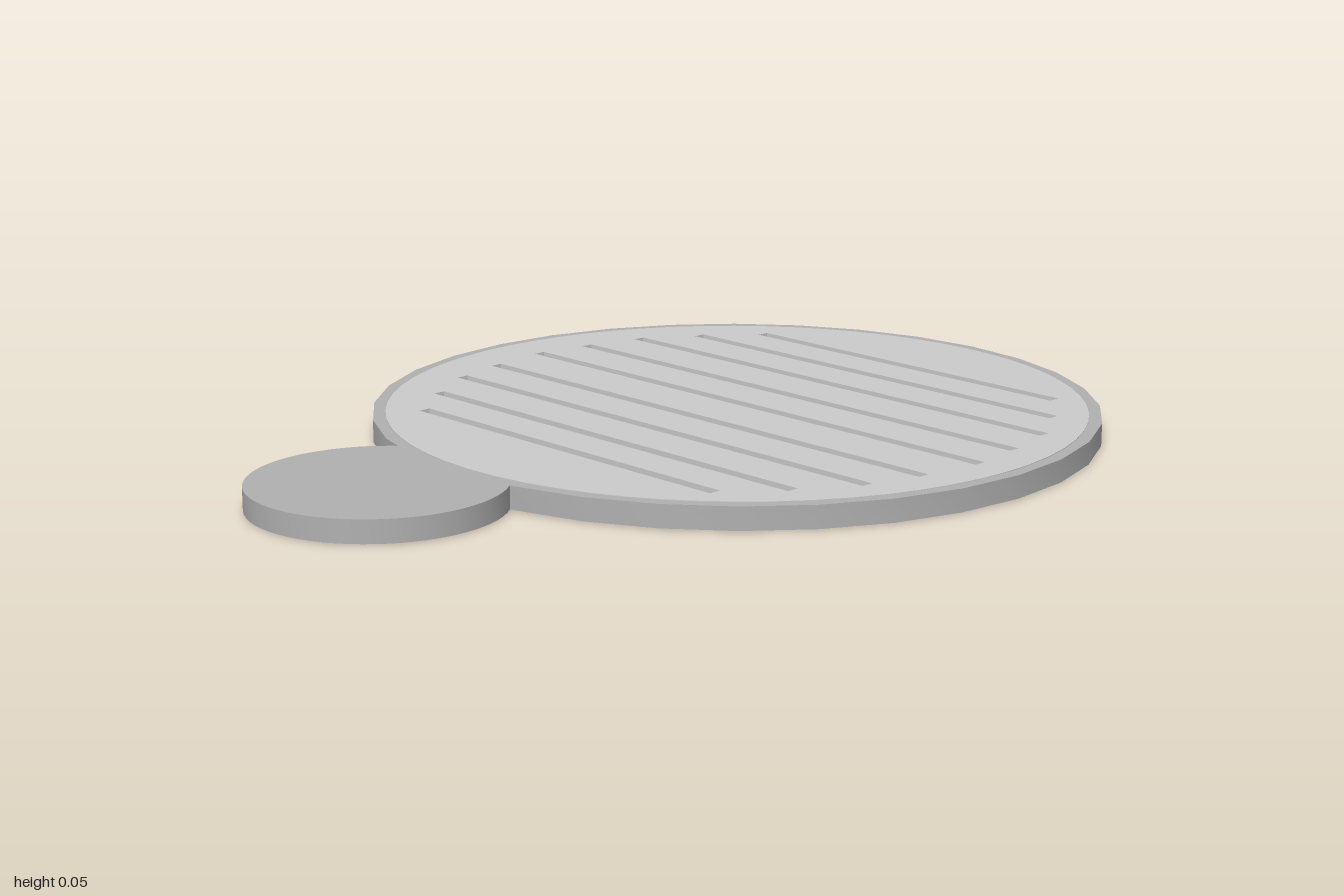
import * as THREE from 'three';
import { toCreasedNormals } from 'three/addons/utils/BufferGeometryUtils.js';

const HEIGHT = 0.052;
const STEP = 0.0015; // plate stands slightly proud of rim and tab
const DISC_Z = -0.21, OUTER_R = 0.791, INNER_R = 0.762;

const circle = (target, x, z, r) => target.absarc(x, z, r, 0, Math.PI * 2, false);

// Extrudes a plan outline (x, z) upwards between two heights.
function slab(name, shape, y0, y1, curveSegments, color) {
  const geo = new THREE.ExtrudeGeometry(shape, { depth: y1 - y0, bevelEnabled: false, curveSegments });
  geo.rotateX(Math.PI / 2).translate(0, y1, 0);
  const mesh = new THREE.Mesh(toCreasedNormals(geo, 0.5), new THREE.MeshStandardMaterial({ color }));
  mesh.name = name;
  return mesh;
}

export function createModel() {
  const model = new THREE.Group();
  model.name = 'drainGrate';

  // Round plate with slots cut right through
  const plate = circle(new THREE.Shape(), 0, DISC_Z, INNER_R);
  const slots = [
    [-0.735, 0.445], [-0.614, 0.54], [-0.487, 0.617], [-0.349, 0.65], [-0.217, 0.67],
    [-0.067, 0.65], [0.062, 0.617], [0.194, 0.54], [0.314, 0.445],
  ];
  const cx = 0.015, half = 0.014;
  for (const [z, w] of slots) {
    plate.holes.push(new THREE.Path([
      new THREE.Vector2(cx - w, z - half), new THREE.Vector2(cx - w, z + half),
      new THREE.Vector2(cx + w, z + half), new THREE.Vector2(cx + w, z - half),
    ]));
  }
  model.add(slab('slottedPlate', plate, 0, HEIGHT, 32, 0xcccccc));

  // Faceted ring around the plate
  const rim = circle(new THREE.Shape(), 0, DISC_Z, OUTER_R);
  rim.holes.push(circle(new THREE.Path(), 0, DISC_Z, INNER_R - 0.01));
  model.add(slab('rim', rim, STEP, HEIGHT - STEP, 16, 0xb0b0b0));

  // Small round tab at the front, off centre
  const tab = circle(new THREE.Shape(), -0.062, 0.735, 0.265);
  model.add(slab('roundTab', tab, STEP, HEIGHT - STEP, 32, 0xb0b0b0));

  return model;
}
